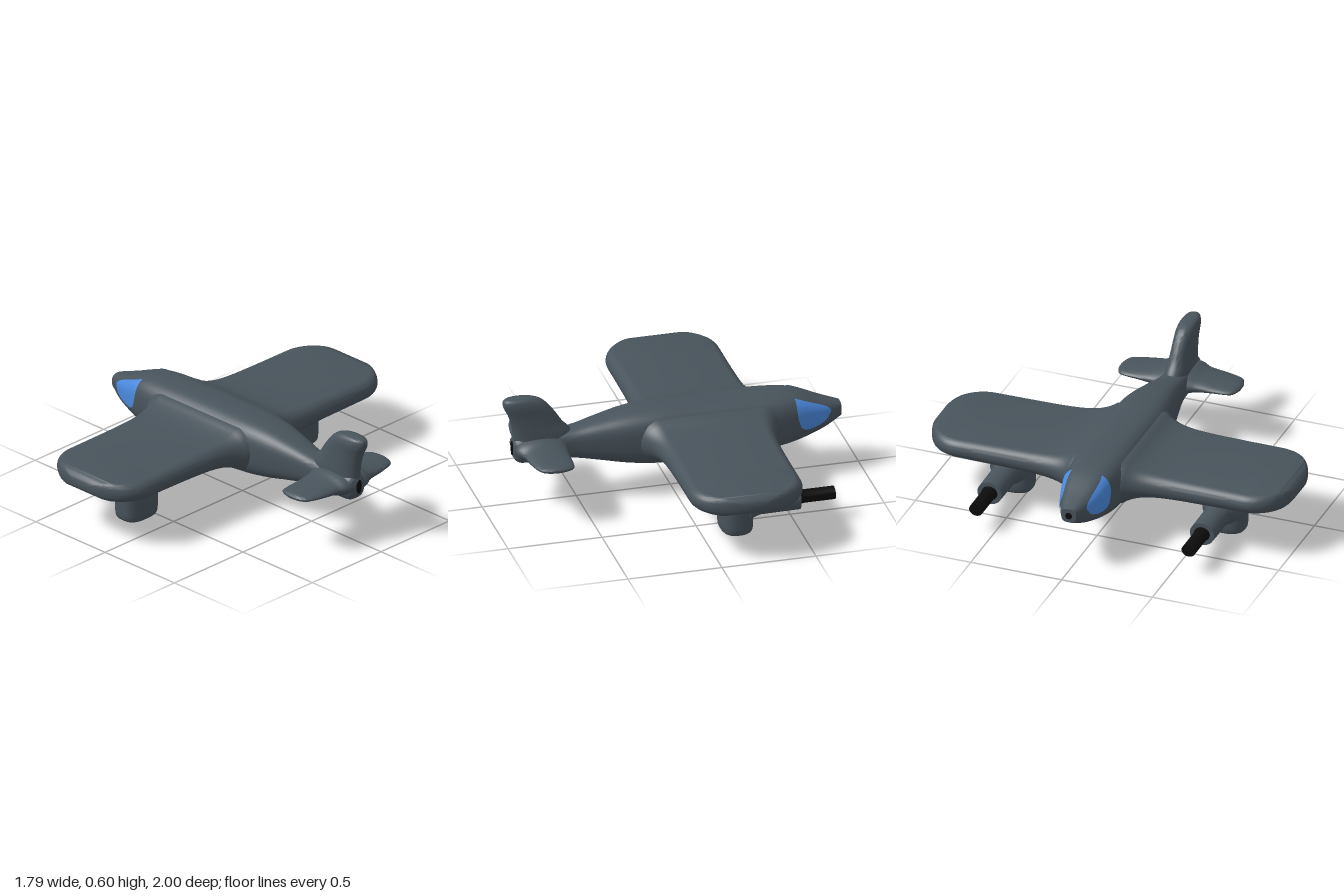
import * as THREE from 'three';
import { toCreasedNormals } from 'three/addons/utils/BufferGeometryUtils.js';

const SIDES = 40;

// Skins a list of closed rings of [x, y, z] points and caps both ends
function skin(rings, crease = 0.9) {
  const n = rings[0].length, pos = rings.flat(2), idx = [];
  for (let r = 0; r < rings.length - 1; r++) {
    for (let i = 0; i < n; i++) {
      const a = r * n + i, b = r * n + (i + 1) % n;
      idx.push(a, b, a + n, b, b + n, a + n);
    }
  }
  for (const r of [0, rings.length - 1]) {
    const c = pos.length / 3;
    for (let k = 0; k < 3; k++) pos.push(rings[r].reduce((t, p) => t + p[k], 0) / n);
    for (let i = 0; i < n; i++) {
      const a = r * n + i, b = r * n + (i + 1) % n;
      if (r) idx.push(a, b, c); else idx.push(b, a, c);
    }
  }
  // Turn the faces outward if the signed volume is negative
  const P = (i) => new THREE.Vector3(pos[i * 3], pos[i * 3 + 1], pos[i * 3 + 2]);
  let volume = 0;
  for (let i = 0; i < idx.length; i += 3) volume += P(idx[i]).dot(P(idx[i + 1]).cross(P(idx[i + 2])));
  if (volume < 0) idx.reverse();
  const g = new THREE.BufferGeometry();
  g.setAttribute('position', new THREE.Float32BufferAttribute(pos, 3));
  g.setIndex(idx);
  return toCreasedNormals(g, crease);
}

// Smoothly interpolates rows of section sizes
function refine(rows, steps = 5) {
  const curves = rows[0].map((_, c) => new THREE.SplineCurve(rows.map((r, i) => new THREE.Vector2(i, r[c]))));
  const count = (rows.length - 1) * steps;
  return Array.from({ length: count + 1 }, (_, i) => curves.map((k) => k.getPoint(i / count).y));
}

const spow = (v, e) => Math.sign(v) * Math.abs(v) ** e;

// Rows are [station, low, high, half thickness]; place maps (station, u, v) to a point
function loft(rows, exponent, place, crease) {
  return skin(refine(rows).map(([s, lo, hi, half]) =>
    Array.from({ length: SIDES }, (_, i) => {
      const t = i / SIDES * Math.PI * 2;
      const u = (lo + hi) / 2 + (hi - lo) / 2 * spow(Math.cos(t), 2 / exponent);
      return place(s, u, half * spow(Math.sin(t), 2 / exponent));
    })), crease);
}

const FUSELAGE = [
  [-0.9, 0.285, 0.362, 0.04], [-0.8, 0.238, 0.395, 0.085], [-0.65, 0.192, 0.45, 0.128],
  [-0.5, 0.17, 0.466, 0.148], [-0.3, 0.165, 0.47, 0.15], [-0.1, 0.163, 0.47, 0.15],
  [0.1, 0.165, 0.469, 0.148], [0.25, 0.183, 0.455, 0.13], [0.4, 0.213, 0.424, 0.1],
  [0.53, 0.236, 0.395, 0.076], [0.68, 0.24, 0.385, 0.07], [0.79, 0.238, 0.38, 0.064],
  [0.825, 0.25, 0.372, 0.053], [0.84, 0.275, 0.355, 0.035],
];
const BODY_EXP = 3;

const FIN = [
  [0.32, 0.5, 0.835, 0.066], [0.39, 0.53, 0.838, 0.062], [0.44, 0.575, 0.845, 0.057],
  [0.5, 0.615, 0.862, 0.053], [0.55, 0.655, 0.886, 0.052], [0.58, 0.69, 0.89, 0.046],
  [0.595, 0.73, 0.878, 0.036], [0.6, 0.76, 0.85, 0.02],
];

const TAILPLANE = [
  [0, 0.54, 0.84, 0.07], [0.07, 0.56, 0.835, 0.06], [0.12, 0.573, 0.81, 0.043],
  [0.2, 0.58, 0.8, 0.03], [0.27, 0.585, 0.785, 0.022], [0.31, 0.597, 0.765, 0.017], [0.33, 0.64, 0.72, 0.008],
];

const POD = [
  [0, -0.235, -0.13, 0.078], [0.008, -0.256, -0.11, 0.1], [0.03, -0.268, -0.1, 0.112],
  [0.1, -0.27, -0.098, 0.115], [0.17, -0.268, -0.098, 0.118], [0.22, -0.28, -0.086, 0.128],
  [0.25, -0.32, -0.05, 0.15], [0.275, -0.38, 0.0, 0.19],
];

// Full-span wing: rounded edges, rounded tips, fillet towards the fuselage
function wingGeometry() {
  const rings = [], count = 120;
  for (let i = 0; i <= count; i++) {
    const z = 0.9995 * Math.sin((i / count - 0.5) * Math.PI), d = Math.abs(z);
    const fillet = Math.exp(-Math.max(0, d - 0.13) / 0.08);
    const round = Math.max(0, (d - 0.78) / 0.22), edge = Math.max(0, (d - 0.94) / 0.06);
    const a = (0.3 + 0.08 * fillet) * (1 - round ** 2.3) ** 0.46;
    const top = 0.37 + 0.012 * (1 - d) + 0.055 * fillet;
    const bottom = 0.27 - 0.018 * (1 - d) - 0.055 * fillet;
    const h = (top - bottom) / 2 * Math.sqrt(1 - edge * edge), r = Math.min(h, a);
    rings.push(Array.from({ length: SIDES }, (_, k) => {
      const t = (k + 0.5) / SIDES * Math.PI * 2, c = Math.cos(t);
      return [-0.18 + Math.sign(c) * (a - r) + r * c, (top + bottom) / 2 + h * Math.sin(t), z];
    }));
  }
  return skin(rings);
}

// Side window: a patch that follows the fuselage skin
function windowGeometry(side) {
  const edge = (pts) => new THREE.SplineCurve(pts.map((p) => new THREE.Vector2(...p)));
  const upper = edge([[-0.838, 0.347], [-0.81, 0.373], [-0.72, 0.412], [-0.64, 0.443]]);
  const lower = edge([[-0.838, 0.347], [-0.8, 0.298], [-0.72, 0.275], [-0.668, 0.29], [-0.645, 0.36], [-0.64, 0.443]]);
  const rows = refine(FUSELAGE, 12), pos = [], idx = [], N = 28, M = 14;
  const halfWidth = (x, y) => {
    const i = Math.max(1, rows.findIndex((r) => r[0] >= x)), A = rows[i - 1], B = rows[i];
    const f = (x - A[0]) / (B[0] - A[0]);
    const [, lo, hi, half] = A.map((v, c) => v + (B[c] - v) * f);
    const t = Math.min(1, Math.abs(y - (lo + hi) / 2) / ((hi - lo) / 2));
    return half * (1 - t ** BODY_EXP) ** (1 / BODY_EXP);
  };
  for (let i = 0; i <= N; i++) {
    for (let j = 0; j <= M; j++) {
      const p = lower.getPoint(i / N).lerp(upper.getPoint(i / N), j / M);
      pos.push(p.x, p.y + 0.001, side * (halfWidth(p.x, p.y) + 0.005));
      if (i < N && j < M) {
        const a = i * (M + 1) + j, b = a + M + 1;
        if (side > 0) idx.push(a, b, a + 1, b, b + 1, a + 1);
        else idx.push(a, a + 1, b, b, a + 1, b + 1);
      }
    }
  }
  const g = new THREE.BufferGeometry();
  g.setAttribute('position', new THREE.Float32BufferAttribute(pos, 3));
  g.setIndex(idx);
  g.computeVertexNormals();
  return g;
}

// Turned part along x from [x, radius] points
function turned(points) {
  const g = new THREE.LatheGeometry(points.map(([x, r]) => new THREE.Vector2(r, -x)).reverse(), 28);
  return toCreasedNormals(g.rotateZ(Math.PI / 2), 0.7);
}

export function createModel() {
  const model = new THREE.Group();
  model.name = 'aeroplane';
  const paint = (name, color, extra) => Object.assign(new THREE.MeshStandardMaterial({ color, ...extra }), { name });
  const grey = paint('slate grey', 0x48535b);
  const blue = paint('window blue', 0x4a88dc, { side: THREE.DoubleSide });
  const black = paint('black', 0x0c0c0c);
  const add = (name, geometry, material, parent = model) => {
    const mesh = new THREE.Mesh(geometry, material);
    mesh.name = name;
    parent.add(mesh);
    return mesh;
  };

  add('fuselage', loft(FUSELAGE, BODY_EXP, (s, u, v) => [s, u, v]), grey);
  add('wing', wingGeometry(), grey);
  add('tailFin', loft(FIN, 2.3, (s, u, v) => [u, s, v]), grey);
  const fullTail = [...TAILPLANE.slice(1).reverse().map(([s, ...r]) => [-s, ...r]), ...TAILPLANE];
  add('tailplane', loft(fullTail, 2, (s, u, v) => [u, 0.317 + v, s], 1.2), grey);

  // Small dark openings at the nose and the tail end
  const nose = add('noseOpening', new THREE.CylinderGeometry(0.018, 0.018, 0.006, 20).rotateZ(Math.PI / 2), black);
  nose.position.set(-0.9, 0.323, 0);
  const tail = add('tailOpening', new THREE.CylinderGeometry(0.018, 0.018, 0.008, 20).rotateZ(Math.PI / 2), black);
  tail.position.set(0.84, 0.317, 0);
  tail.scale.y = 2.2;

  for (const side of [1, -1]) {
    add(side > 0 ? 'leftWindow' : 'rightWindow', windowGeometry(side), blue);

    // Underwing pod with a forward housing and barrel
    const pod = new THREE.Group();
    pod.name = side > 0 ? 'leftPod' : 'rightPod';
    pod.position.z = 0.585 * side;
    model.add(pod);
    add('podLeg', loft(POD, 2.7, (s, u, v) => [u, s, v]), grey, pod);
    const housing = add('barrelHousing', turned([[-0.52, 0], [-0.52, 0.062], [-0.4, 0.063], [-0.31, 0.064], [-0.27, 0.075], [-0.24, 0.1], [-0.2, 0]]), grey, pod);
    housing.position.y = 0.137;
    housing.scale.z = 1.08;
    const barrel = add('barrel', turned([[-0.71, 0], [-0.71, 0.034], [-0.55, 0.034], [-0.51, 0.04], [-0.5, 0]]), black, pod);
    barrel.position.y = 0.139;
    barrel.scale.z = 1.12;
  }
  return model;
}
